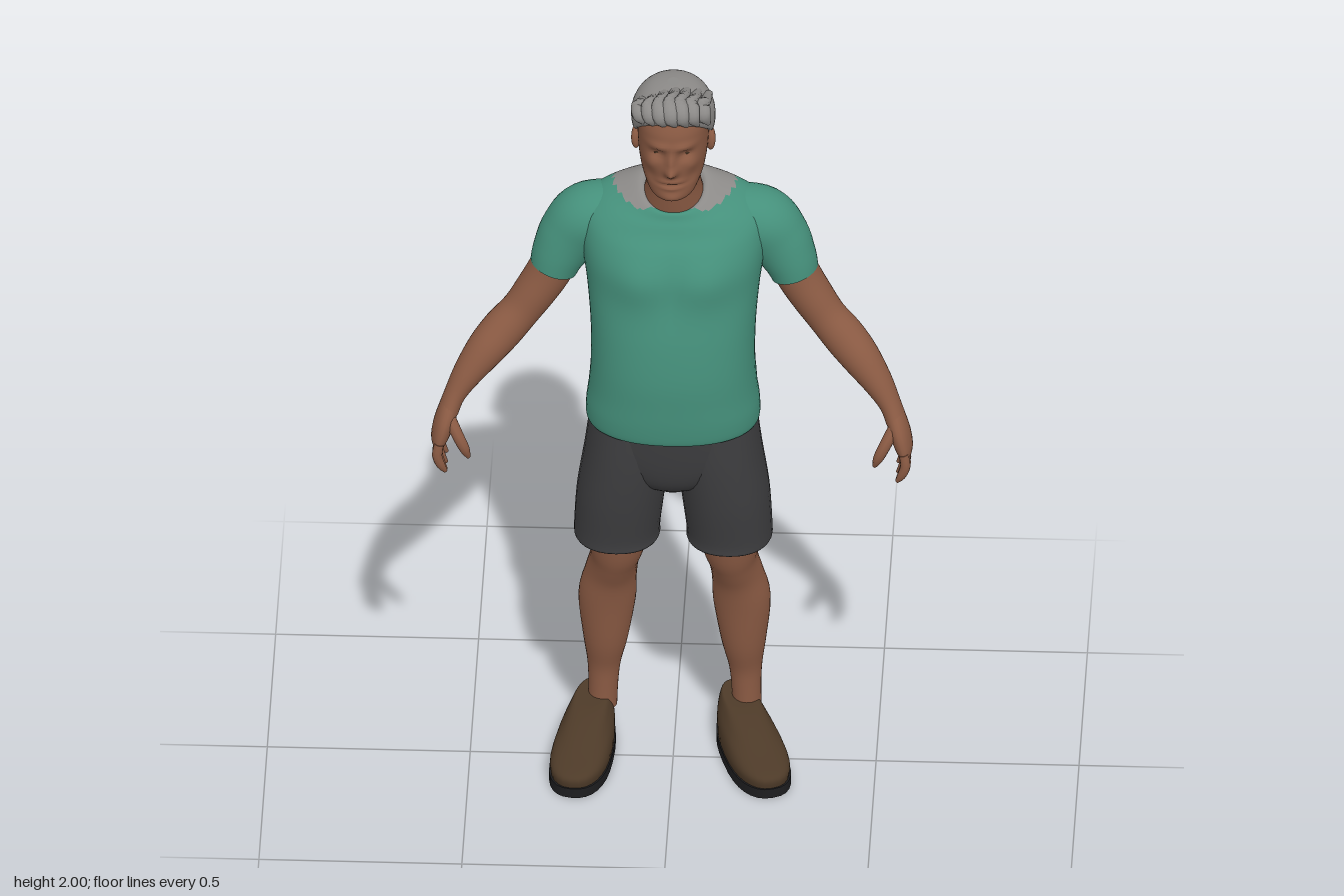
import * as THREE from 'three';

const mat = (name, color) => Object.assign(new THREE.MeshStandardMaterial({ color }), { name });

// Catmull-Rom refinement of section rows, k steps between neighbours
function refine(rows, k) {
  const out = [];
  for (let i = 0; i < rows.length - 1; i++) {
    const a = rows[Math.max(i - 1, 0)], b = rows[i], c = rows[i + 1], d = rows[Math.min(i + 2, rows.length - 1)];
    for (let s = 0; s < k; s++) {
      const t = s / k;
      out.push(b.map((v, j) => v + 0.5 * t * (c[j] - a[j] + t * (2 * a[j] - 5 * v + 4 * c[j] - d[j] + t * (3 * (v - c[j]) + d[j] - a[j])))));
    }
  }
  out.push(rows[rows.length - 1]);
  return out;
}

// Loft through rows [x, y, z, sideRadius, frontRadius, backRadius, tilt].
// perp: rings stand square to the path; otherwise they lie flat, listed bottom to top.
function loft(rows, { perp = false, seg = 32, k = 4, n = 2, deform = null, pick = null } = {}) {
  const R = refine(rows, k), rings = [];
  const pw = v => Math.sign(v) * Math.abs(v) ** (2 / n);
  R.forEach((r, i) => {
    const C = new THREE.Vector3(r[0], r[1], r[2]);
    let A = new THREE.Vector3(1, 0, 0), B = new THREE.Vector3(0, r[6] || 0, 1);
    if (perp) {
      const p = R[Math.max(i - 1, 0)], q = R[Math.min(i + 1, R.length - 1)];
      const T = new THREE.Vector3(q[0] - p[0], q[1] - p[1], q[2] - p[2]).normalize();
      B = new THREE.Vector3(0, 0, 1).addScaledVector(T, -T.z).normalize();
      A = T.clone().cross(B);
    }
    const ring = [];
    for (let j = 0; j < seg; j++) {
      const t = j / seg * Math.PI * 2, s = pw(Math.sin(t));
      const P = C.clone().addScaledVector(A, pw(Math.cos(t)) * r[3]).addScaledVector(B, s * (s > 0 ? r[4] : r[5]));
      if (deform) deform(P);
      ring.push(P);
    }
    rings.push(ring);
  });
  // flat end caps
  const cap = ring => {
    const c = ring.reduce((a, p) => a.add(p), new THREE.Vector3()).divideScalar(seg);
    return ring.map(() => c.clone());
  };
  const first = rings[0], last = rings[rings.length - 1];
  rings.unshift(cap(first), first);
  rings.push(last, cap(last));
  const faces = [[], []];
  for (let i = 0; i < rings.length - 1; i++) {
    for (let j = 0; j < seg; j++) {
      const m = (j + 1) % seg, a = i * seg + j, b = a + seg, c = i * seg + m, d = c + seg;
      const f = pick && pick(rings[i][j].clone().add(rings[i + 1][m]).multiplyScalar(0.5)) ? 1 : 0;
      faces[f].push(a, b, c, c, b, d);
    }
  }
  const g = new THREE.BufferGeometry();
  g.setAttribute('position', new THREE.Float32BufferAttribute(rings.flat().flatMap(p => [p.x, p.y, p.z]), 3));
  g.setIndex(faces.flat());
  if (pick) {
    g.addGroup(0, faces[0].length, 0);
    g.addGroup(faces[0].length, faces[1].length, 1);
  }
  g.computeVertexNormals();
  return g;
}

const bump = (u, v, su, sv) => Math.exp(-((u / su) ** 2) - ((v / sv) ** 2));

export function createModel() {
  const model = new THREE.Group();
  const skin = mat('skin', 0x8a5a43), teal = mat('shirtGreen', 0x45907b), grey = mat('grey', 0x8c8a88);
  const charcoal = mat('charcoal', 0x3d3d3f), brown = mat('shoeBrown', 0x4d3a28), black = mat('soleBlack', 0x1d1d1f);
  const add = (name, geo, m, parent = model) => {
    const mesh = new THREE.Mesh(geo, m);
    mesh.name = name;
    parent.add(mesh);
    return mesh;
  };
  const mirror = (rows, s) => rows.map(r => [s * r[0], ...r.slice(1)]);

  // Shirt body, with chest, spine groove and waist folds; grey yoke round the back of the neck
  add('shirt', loft([
    [0, 1.03, 0, 0.19, 0.14, 0.145, 0], [0, 1.018, -0.005, 0.212, 0.158, 0.166, 0],
    [0, 1.06, 0, 0.214, 0.16, 0.166, 0], [0, 1.12, 0, 0.207, 0.163, 0.16, 0],
    [0, 1.2, 0, 0.202, 0.164, 0.158, 0], [0, 1.3, -0.01, 0.204, 0.163, 0.155, 0],
    [0, 1.4, -0.03, 0.213, 0.163, 0.158, 0], [0, 1.48, -0.05, 0.225, 0.172, 0.143, 0],
    [0, 1.54, -0.07, 0.232, 0.166, 0.122, 0], [0, 1.59, -0.08, 0.225, 0.15, 0.103, -0.1],
    [0, 1.625, -0.075, 0.185, 0.13, 0.085, -0.2], [0, 1.65, -0.06, 0.13, 0.105, 0.072, -0.35],
    [0, 1.668, -0.05, 0.085, 0.088, 0.06, -0.45], [0, 1.66, -0.05, 0.07, 0.075, 0.05, -0.45],
  ], {
    seg: 64, k: 5, n: 2.25,
    deform: p => {
      const ax = Math.abs(p.x);
      if (p.z > 0) p.z += 0.012 * bump(ax - 0.09, p.y - 1.47, 0.06, 0.07) - 0.006 * bump(p.x, p.y - 1.47, 0.02, 0.08);
      else p.z += 0.012 * bump(p.x, p.y - 1.36, 0.035, 0.2)
        + 0.007 * Math.sin(p.y * 105 + ax * 18) * bump(p.x, p.y - 1.12, 0.25, 0.07);
    },
    pick: p => p.y > 1.642 - 0.2 * Math.max(0, p.z + 0.05) && p.z < 0.02 && Math.abs(p.x) < 0.15,
  }), [teal, grey]);

  // Neck
  add('neck', loft([
    [0, 1.58, -0.05, 0.085, 0.07, 0.065, 0], [0, 1.64, -0.045, 0.076, 0.075, 0.06, -0.2],
    [0, 1.69, -0.035, 0.067, 0.075, 0.066, -0.1], [0, 1.74, -0.025, 0.066, 0.075, 0.06, 0],
    [0, 1.8, -0.02, 0.068, 0.07, 0.065, 0],
  ]), skin);

  // Head with sculpted face
  add('head', loft([
    [0, 1.706, 0.05, 0.03, 0.04, 0.04], [0, 1.72, 0.03, 0.056, 0.08, 0.07], [0, 1.75, 0, 0.073, 0.113, 0.07],
    [0, 1.78, -0.01, 0.081, 0.12, 0.085], [0, 1.82, -0.01, 0.086, 0.122, 0.1], [0, 1.87, -0.01, 0.088, 0.122, 0.105],
    [0, 1.91, -0.01, 0.088, 0.117, 0.106], [0, 1.95, -0.01, 0.076, 0.096, 0.09], [0, 1.975, -0.01, 0.045, 0.055, 0.055],
  ], {
    seg: 80, k: 7, n: 2.2,
    deform: p => {
      if (p.z < 0.03) return;
      const ax = Math.abs(p.x);
      p.z += 0.026 * bump(p.x, p.y - 1.802, 0.014, 0.014) + 0.016 * bump(p.x, p.y - 1.83, 0.011, 0.025)
        + 0.008 * bump(ax - 0.03, p.y - 1.872, 0.03, 0.01) - 0.016 * bump(ax - 0.034, p.y - 1.846, 0.018, 0.013)
        + 0.006 * bump(p.x, p.y - 1.771, 0.025, 0.006) - 0.007 * bump(p.x, p.y - 1.762, 0.028, 0.004)
        + 0.005 * bump(p.x, p.y - 1.754, 0.022, 0.006) + 0.007 * bump(p.x, p.y - 1.725, 0.025, 0.014)
        + 0.005 * bump(ax - 0.055, p.y - 1.815, 0.015, 0.015) - 0.006 * bump(ax - 0.05, p.y - 1.775, 0.015, 0.02);
    },
  }), skin);

  // Hair cap and swept front locks
  const hair = new THREE.Group();
  hair.name = 'hair';
  model.add(hair);
  add('hairCap', loft([
    [0, 1.852, -0.005, 0.086, 0.095, 0.085, 0.75], [0, 1.856, -0.005, 0.098, 0.11, 0.1, 0.74],
    [0, 1.89, -0.01, 0.104, 0.118, 0.113, 0.5], [0, 1.93, -0.012, 0.1, 0.115, 0.114, 0.25],
    [0, 1.962, -0.012, 0.083, 0.1, 0.098, 0.1], [0, 1.982, -0.01, 0.055, 0.07, 0.068, 0.05], [0, 1.989, -0.01, 0.015, 0.02, 0.02, 0],
  ], { seg: 48 }), grey, hair);
  for (let i = 0; i < 7; i++) {
    const x = -0.078 + i * 0.026, h = 0.026 * Math.cos((x - 0.01) * 17);
    add('hairLock', loft([
      [x + 0.012, 1.913 + h * 0.4, 0.088 - x * x * 4, 0.006, 0.006, 0.006],
      [x, 1.94 + h * 0.5, 0.106 - x * x * 5, 0.018, 0.012, 0.014],
      [x - 0.004, 1.957 + h * 0.8, 0.09 - x * x * 5, 0.02, 0.014, 0.014],
      [x, 1.957 + h, 0.05, 0.02, 0.014, 0.014], [x + 0.008, 1.945 + h, -0.01, 0.012, 0.01, 0.01],
    ], { perp: true, seg: 12 }), grey, hair);
  }

  // Shorts: seat
  add('shortsSeat', loft([
    [0, 0.82, -0.01, 0.04, 0.07, 0.08], [0, 0.86, -0.01, 0.13, 0.115, 0.125],
    [0, 0.93, -0.01, 0.2, 0.136, 0.145], [0, 1.045, -0.01, 0.2, 0.148, 0.155],
  ], { seg: 48, n: 2.3 }), charcoal);

  for (const s of [1, -1]) {
    const side = s > 0 ? 'left' : 'right';

    // Sleeve
    add(side + 'Sleeve', loft(mirror([
      [0.13, 1.57, -0.085, 0.065, 0.08, 0.075], [0.21, 1.54, -0.085, 0.085, 0.09, 0.085],
      [0.255, 1.49, -0.08, 0.08, 0.08, 0.08], [0.283, 1.44, -0.073, 0.068, 0.072, 0.072],
      [0.297, 1.4, -0.07, 0.06, 0.067, 0.067],
    ], s), { perp: true, k: 6 }), teal);

    // Arm down to the wrist
    add(side + 'Arm', loft(mirror([
      [0.283, 1.44, -0.07, 0.056, 0.06, 0.06], [0.308, 1.385, -0.068, 0.055, 0.06, 0.06],
      [0.342, 1.33, -0.06, 0.052, 0.057, 0.058], [0.378, 1.28, -0.048, 0.049, 0.051, 0.053],
      [0.42, 1.235, -0.03, 0.052, 0.052, 0.052], [0.462, 1.19, -0.005, 0.048, 0.05, 0.05],
      [0.505, 1.135, 0.02, 0.037, 0.042, 0.042], [0.536, 1.085, 0.04, 0.027, 0.035, 0.035], [0.552, 1.045, 0.052, 0.026, 0.04, 0.04],
    ], s), { perp: true }), skin);

    // Hand: palm, four fingers and thumb
    const hand = new THREE.Group();
    hand.name = side + 'Hand';
    model.add(hand);
    add('palm', loft(mirror([
      [0.545, 1.07, 0.045, 0.024, 0.032, 0.034], [0.561, 1.02, 0.06, 0.026, 0.05, 0.045],
      [0.572, 0.98, 0.07, 0.022, 0.05, 0.045], [0.575, 0.958, 0.073, 0.013, 0.044, 0.04],
    ], s), { perp: true, seg: 20 }), skin, hand);
    for (let i = 0; i < 4; i++) {
      const z = 0.038 + i * 0.024, d = [0.02, 0.005, 0, 0.01][i];
      add('finger', loft(mirror([
        [0.572, 0.98, z, 0.012, 0.012, 0.012], [0.577, 0.945 + d * 0.5, z + 0.004, 0.0125, 0.0125, 0.0125],
        [0.568, 0.912 + d, z + 0.003, 0.011, 0.011, 0.011], [0.556, 0.892 + d, z, 0.005, 0.005, 0.005],
      ], s), { perp: true, seg: 10, k: 3 }), skin, hand);
    }
    add('thumb', loft(mirror([
      [0.55, 1.04, 0.075, 0.016, 0.018, 0.018], [0.527, 1.0, 0.098, 0.015, 0.016, 0.016],
      [0.51, 0.965, 0.104, 0.013, 0.013, 0.013], [0.5, 0.938, 0.1, 0.005, 0.005, 0.005],
    ], s), { perp: true, seg: 10, k: 3 }), skin, hand);

    // Ear and eye
    const ear = add(side + 'Ear', new THREE.SphereGeometry(1, 16, 12), skin);
    ear.scale.set(0.012, 0.032, 0.02);
    ear.position.set(s * 0.091, 1.822, -0.018);
    ear.rotation.set(-0.2, s * 0.35, 0);
    const eye = add(side + 'Eye', new THREE.SphereGeometry(1, 12, 8), brown);
    eye.scale.set(0.011, 0.0035, 0.004);
    eye.position.set(s * 0.034, 1.845, 0.087);

    // Shorts leg with a slightly flared hem
    add(side + 'ShortsLeg', loft(mirror([
      [0.138, 0.675, -0.015, 0.09, 0.1, 0.1], [0.138, 0.66, -0.015, 0.105, 0.115, 0.115],
      [0.138, 0.69, -0.015, 0.106, 0.116, 0.117], [0.128, 0.8, -0.012, 0.109, 0.128, 0.126],
      [0.113, 0.92, -0.01, 0.106, 0.133, 0.14], [0.105, 1.03, -0.01, 0.1, 0.13, 0.145],
    ], s), { n: 2.2 }), charcoal);

    // Leg
    add(side + 'Leg', loft(mirror([
      [0.178, 0.09, -0.1, 0.036, 0.04, 0.04], [0.176, 0.16, -0.1, 0.037, 0.04, 0.04],
      [0.174, 0.22, -0.1, 0.042, 0.044, 0.045], [0.17, 0.3, -0.092, 0.056, 0.056, 0.063],
      [0.166, 0.42, -0.085, 0.071, 0.065, 0.075], [0.156, 0.5, -0.073, 0.064, 0.068, 0.066],
      [0.146, 0.56, -0.055, 0.061, 0.074, 0.066], [0.14, 0.61, -0.042, 0.07, 0.08, 0.072], [0.138, 0.7, -0.03, 0.08, 0.083, 0.08],
    ], s), { perp: true }), skin);

    // Slip-on shoe, toes turned outward
    const shoe = new THREE.Group();
    shoe.name = side + 'Shoe';
    shoe.position.set(s > 0 ? 0.193 : -0.218, 0, s > 0 ? 0.004 : 0.016);
    shoe.rotation.y = s > 0 ? 0.34 : -0.15;
    model.add(shoe);
    const toe = p => { p.x *= 1 + 0.8 * p.z; };
    add('sole', loft([
      [0, 0, 0, 0.072, 0.181, 0.181], [0, 0.026, 0, 0.072, 0.181, 0.181],
    ], { k: 1, n: 2.4, deform: toe }), black, shoe);
    add('upper', loft([
      [0, 0.025, 0, 0.069, 0.177, 0.177, 0], [0, 0.048, 0, 0.071, 0.178, 0.178, 0],
      [0, 0.076, -0.03, 0.067, 0.185, 0.145, -0.08], [0, 0.102, -0.06, 0.056, 0.155, 0.112, -0.15],
      [0, 0.122, -0.09, 0.046, 0.085, 0.075, -0.12], [0, 0.126, -0.1, 0.038, 0.05, 0.055, -0.1],
    ], { n: 2.3, deform: toe }), brown, shoe);
  }
  return model;
}
